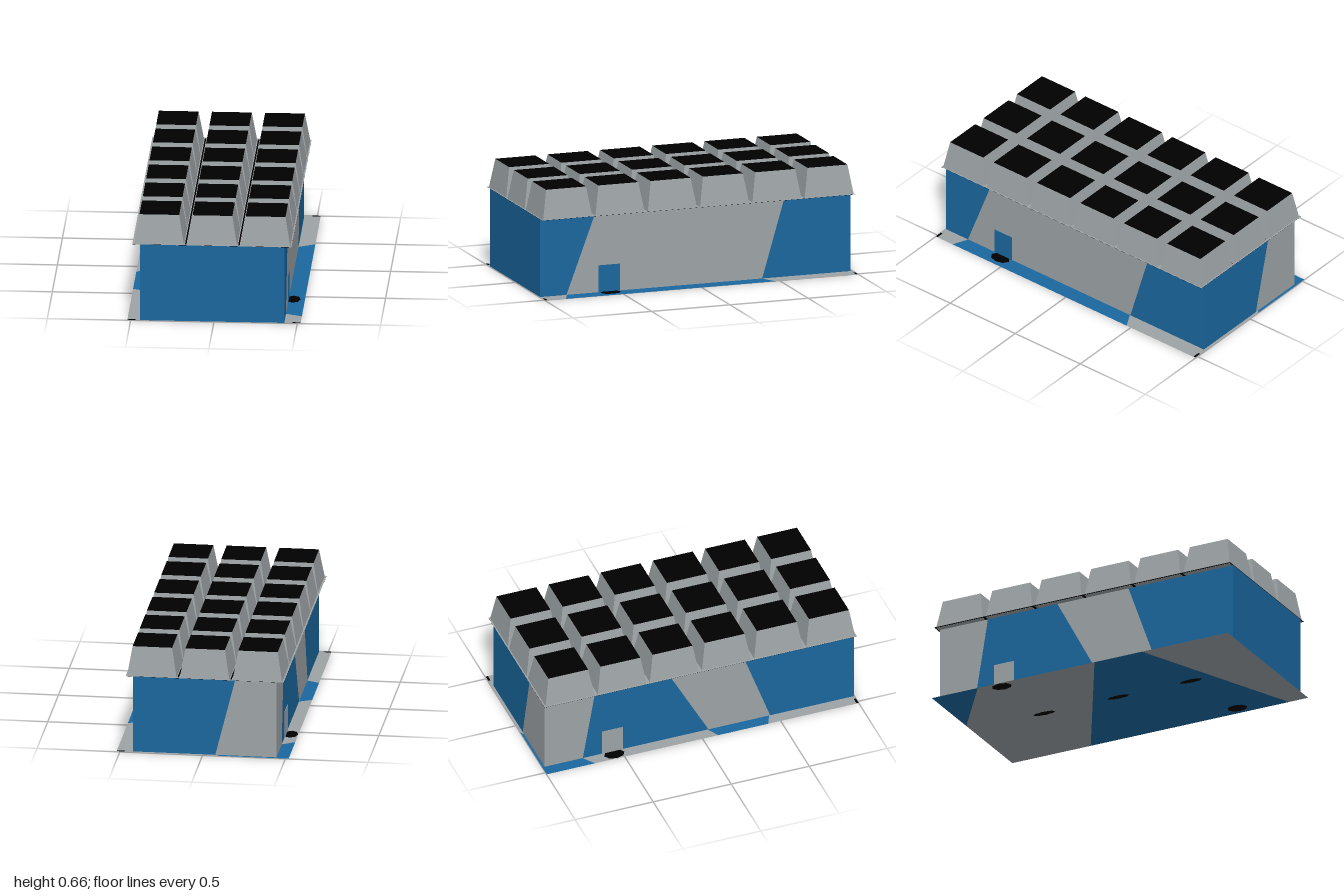
import * as THREE from 'three';

const mat = (name, color) => {
  const m = new THREE.MeshStandardMaterial({ color, side: THREE.DoubleSide });
  m.name = name;
  return m;
};

export function createModel() {
  const group = new THREE.Group();
  const blue = mat('wallBlue', 0x1a679e);
  const grey = mat('wallGrey', 0x9da3a6);
  const black = mat('roofBlack', 0x000000);

  const add = (name, geometry, material, x = 0, y = 0, z = 0) => {
    const mesh = new THREE.Mesh(geometry, material);
    mesh.name = name;
    mesh.position.set(x, y, z);
    group.add(mesh);
    return mesh;
  };

  // Flat convex panel from corners given counter-clockwise seen from its front
  const panel = (name, corners, material) => {
    const g = new THREE.BufferGeometry();
    g.setAttribute('position', new THREE.Float32BufferAttribute(corners.flat(), 3));
    const index = [];
    for (let i = 1; i < corners.length - 1; i++) index.push(0, i, i + 1);
    g.setIndex(index);
    g.computeVertexNormals();
    return add(name, g, material);
  };

  // Level panel from [x, z] corners, front side up
  const sheet = (name, y, pts, material) => panel(name, pts.map(([x, z]) => [x, y, z]), material);

  const X0 = -0.445, X1 = 0.422, Z0 = -0.985, Z1 = 0.998, Y0 = 0.002, H = 0.48, W = 0.52;

  // Wall split by slanted lines; each cut is [position at the bottom, position at the top]
  const wall = (name, place, cuts, colours) => colours.forEach((c, i) => {
    const [b0, t0] = cuts[i], [b1, t1] = cuts[i + 1];
    panel(name, [place(b0, Y0), place(b1, Y0), place(t1, H), place(t0, H)], c);
  });
  wall('frontWall', (s, y) => [s, y, Z1], [[X0, X0], [X1, X1]], [blue]);
  wall('backWall', (s, y) => [s, y, Z0], [[X1, X1], [-0.075, -0.195], [X0, X0]], [blue, grey]);
  wall('plusXWall', (s, y) => [X1, y, s],
    [[Z1, Z1], [0.83, 0.65], [-0.42, -0.56], [Z0, Z0]], [blue, grey, blue]);
  wall('minusXWall', (s, y) => [X0, y, s],
    [[Z0, Z0], [-0.74, -0.66], [0.065, -0.19], [0.46, 0.29], [Z1, Z1]], [grey, blue, grey, blue]);

  // Painted ground sheet
  sheet('groundSheet', Y0, [[-W, 1], [W, 1], [W, 0.87], [-W, 0.42]], grey);
  sheet('groundSheet', Y0, [[-W, 0.42], [W, 0.87], [W, -0.47], [-W, 0.1]], blue);
  sheet('groundSheet', Y0, [[-W, 0.1], [W, -0.47], [W, -1], [-0.075, -1], [-W, -0.69]], grey);
  sheet('groundSheet', Y0, [[-W, -0.69], [-0.075, -1], [-W, -1]], blue);

  // Black corner marks on the sheet
  for (const [x, z] of [[0.495, -0.99], [0.495, 0.992], [-0.495, 0.992]]) {
    const a = 0.023, b = 0.007;
    sheet('cornerMark', Y0 + 0.001, [[x - a, z + b], [x + a, z + b], [x + a, z - b], [x - a, z - b]], black);
  }

  // Doors on both long sides
  for (const [x, z, m] of [[X1 - 0.001, 0.558, blue], [X0, -0.55, grey]]) {
    add('door', new THREE.BoxGeometry(0.006, 0.165, 0.135), m, x, 0.0845, z);
  }

  // Flat black ovals: door pads above and below the sheet, slots under the floor
  const oval = (name, radius, squash, x, y, z, turn) => {
    const g = new THREE.CircleGeometry(radius, 8).rotateX(turn);
    g.scale(squash, 1, 1);
    add(name, g, black, x, y, z);
  };
  for (const [x, z] of [[0.45, 0.558], [-0.475, -0.55]]) {
    oval('doorPad', 0.065, 0.68, x, Y0 + 0.001, z, -Math.PI / 2);
    oval('doorPadUnderside', 0.065, 0.68, x, 0, z, Math.PI / 2);
  }
  for (const z of [-0.5, 0, 0.49]) oval('floorSlot', 0.075, 0.3, -0.02, 0, z, Math.PI / 2);

  // Roof sheet, grey above and black below, with dark seams between the columns
  const roof = [[-0.49, 1], [0.465, 1], [0.465, -1], [-0.49, -1]];
  sheet('roofSheetTop', H + 0.002, roof, grey);
  sheet('roofSheetBottom', H + 0.001, roof, black);
  for (const x of [-0.17, 0.149]) {
    const a = 0.0045, b = 0.985;
    sheet('roofSeam', H + 0.003, [[x - a, b], [x + a, b], [x + a, -b], [x - a, -b]], black);
  }

  // Grid of tapered roof blocks with black tops
  const block = new THREE.BoxGeometry(0.3, 0.18, 0.314).toNonIndexed();
  const p = block.attributes.position;
  for (let i = 0; i < p.count; i++) {
    if (p.getY(i) > 0) p.setXYZ(i, p.getX(i) * 0.795, p.getY(i), p.getZ(i) * 0.812);
  }
  block.computeVertexNormals();
  block.clearGroups();
  for (let f = 0; f < 6; f++) block.addGroup(f * 6, 6, f === 2 ? 1 : 0);
  for (let i = 0; i < 3; i++) {
    for (let j = 0; j < 6; j++) {
      add('roofBlock', block, [grey, black], -0.33 + i * 0.319, H + 0.09, (j - 2.5) * 0.334);
    }
  }
  return group;
}
